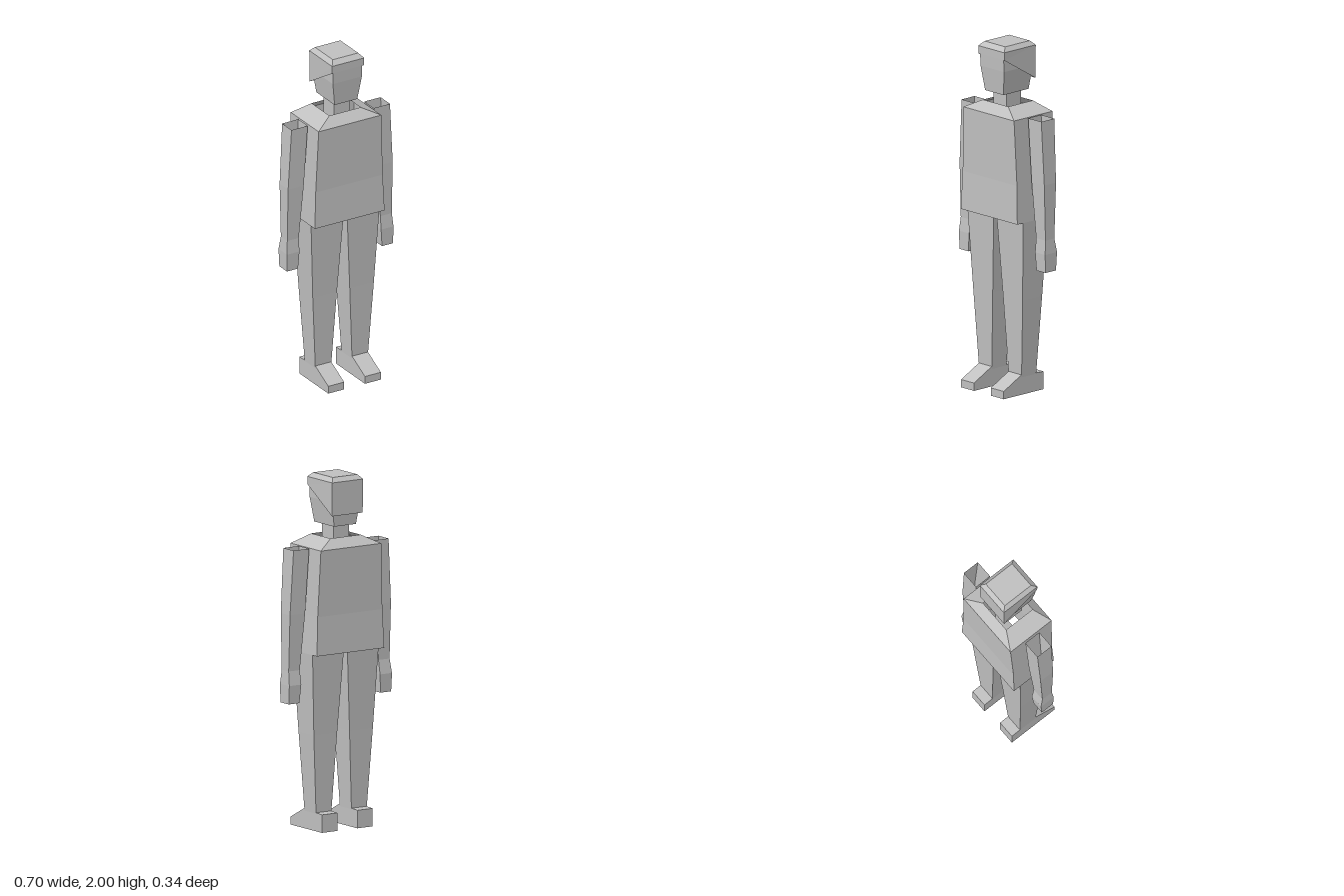
import * as THREE from 'three';

// Flat-shaded box loft. Ring: [y, x0, x1, zBack, zFront, yBack = y], listed bottom to top.
function loft(rings, capBottom = false, capTop = false) {
  const pos = [];
  const loops = rings.map(([y, x0, x1, zb, zf, yb = y]) => [
    [x0, y, zf], [x1, y, zf], [x1, yb, zb], [x0, yb, zb],
  ]);
  const quad = (a, b, c, d) => pos.push(...a, ...b, ...c, ...a, ...c, ...d);
  for (let i = 0; i < loops.length - 1; i++) {
    for (let k = 0; k < 4; k++) {
      const n = (k + 1) % 4;
      quad(loops[i][k], loops[i][n], loops[i + 1][n], loops[i + 1][k]);
    }
  }
  if (capBottom) quad(...[...loops[0]].reverse());
  if (capTop) quad(...loops[loops.length - 1]);
  const g = new THREE.BufferGeometry();
  g.setAttribute('position', new THREE.Float32BufferAttribute(pos, 3));
  g.computeVertexNormals();
  return g;
}

// Mirrors rings to the other side of the body
const mirror = (rings, side) =>
  side > 0 ? rings : rings.map(([y, x0, x1, ...z]) => [y, -x1, -x0, ...z]);

// Ring symmetric about x = 0
const mid = (y, w, ...z) => [y, -w, w, ...z];

export function createModel() {
  const group = new THREE.Group();
  const grey = new THREE.MeshStandardMaterial({
    color: 0xc0c0c0, flatShading: true, side: THREE.DoubleSide,
  });
  grey.name = 'plainGrey';
  const add = (name, geometry) => {
    const m = new THREE.Mesh(geometry, grey);
    m.name = name;
    group.add(m);
  };

  // Jacket, open at the hem and collar
  add('torso', loft([
    mid(1.01, 0.228, -0.167, 0.121),
    mid(1.23, 0.219, -0.161, 0.115),
    mid(1.605, 0.205, -0.172, 0.124),
    mid(1.657, 0.102, -0.118, 0.071),
  ]));

  // Neck and head
  add('neck', loft([mid(1.6, 0.052, -0.075, 0.038), mid(1.74, 0.052, -0.075, 0.038)]));
  add('face', loft([
    mid(1.72, 0.074, -0.112, 0.081),
    mid(1.86, 0.095, -0.125, 0.096),
    mid(1.94, 0.095, -0.13, 0.1),
  ]));

  // Hair slopes down from the forehead to the nape
  add('hair', loft([
    mid(1.93, 0.104, -0.135, 0.103, 1.785),
    mid(1.975, 0.105, -0.138, 0.104),
    mid(2, 0.083, -0.113, 0.076),
  ], false, true));

  // Side outline of a shoe in (z, y)
  const shoe = new THREE.Shape([
    [-0.135, 0], [0.172, 0], [0.172, 0.045], [0.035, 0.115], [-0.075, 0.105], [-0.135, 0.102],
  ].map(([z, y]) => new THREE.Vector2(z, y)));

  for (const side of [1, -1]) {
    const label = side > 0 ? 'left' : 'right';

    // Sleeve open at the shoulder, hand closed at the fingertips
    add(label + 'Arm', loft(mirror([
      [0.92, 0.267, 0.342, -0.055, 0.013],
      [1.24, 0.24, 0.342, -0.068, 0.022],
      [1.605, 0.216, 0.322, -0.074, 0.026],
    ], side)));
    add(label + 'Hand', loft(mirror([
      [0.735, 0.275, 0.347, -0.063, 0.018],
      [0.84, 0.267, 0.348, -0.07, 0.021],
      [0.92, 0.267, 0.342, -0.055, 0.013],
    ], side), true));

    // Trouser leg
    add(label + 'Leg', loft(mirror([
      [0.1, 0.068, 0.172, -0.077, 0.035],
      [0.55, 0.042, 0.2, -0.096, 0.053],
      [1.012, 0.012, 0.224, -0.118, 0.074],
    ], side)));

    // Shoe
    const g = new THREE.ExtrudeGeometry(shoe, { depth: 0.104, bevelEnabled: false });
    g.rotateY(-Math.PI / 2).translate(side * 0.12 + 0.052, 0, 0);
    add(label + 'Shoe', g);
  }
  return group;
}
